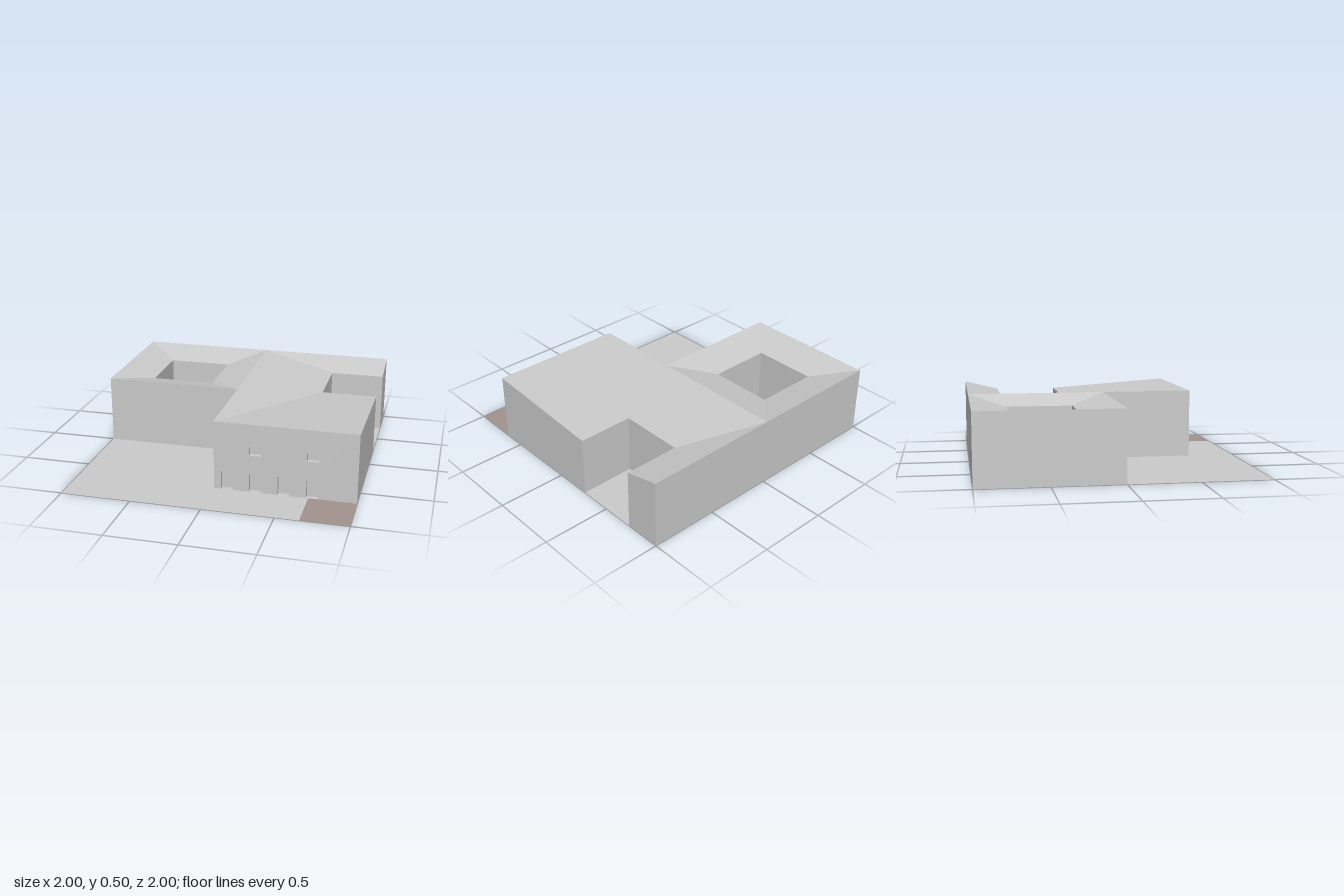
import * as THREE from 'three';

const RIM = 0.5, EAVE = 0.435, FRONT = 0.665, REVEAL = 0.033;

const grey = new THREE.MeshStandardMaterial({ color: 0xcccccc, flatShading: true, side: THREE.DoubleSide });
const brown = new THREE.MeshStandardMaterial({ color: 0xa3938d, flatShading: true, side: THREE.DoubleSide });

// Mesh from a list of four-cornered faces, each anticlockwise from outside
function faces(name, quads, material = grey) {
  const pos = [];
  for (const [a, b, c, d] of quads) pos.push(...a, ...b, ...c, ...a, ...c, ...d);
  const geo = new THREE.BufferGeometry();
  geo.setAttribute('position', new THREE.Float32BufferAttribute(pos, 3));
  geo.computeVertexNormals();
  const mesh = new THREE.Mesh(geo, material);
  mesh.name = name;
  return mesh;
}

// Upright wall between two plan points [x, z], with a top height at each end
const wall = ([x1, z1], [x2, z2], h1 = RIM, h2 = h1) =>
  [[x1, 0, z1], [x2, 0, z2], [x2, h2, z2], [x1, h1, z1]];

// Flat ground rectangle
const slab = (x1, x2, z1, z2) => [[x1, 0, z1], [x1, 0, z2], [x2, 0, z2], [x2, 0, z1]];

// Roof slopes falling from an outer rim to a courtyard edge
function roofSlopes(outer, inner, closed) {
  const quads = [], n = outer.length;
  for (let i = 0; i < (closed ? n : n - 1); i++) {
    const j = (i + 1) % n;
    const hi = ([x, z]) => [x, RIM, z], lo = ([x, z]) => [x, EAVE, z];
    quads.push([hi(outer[i]), hi(outer[j]), lo(inner[j]), lo(inner[i])]);
  }
  return quads;
}

// Walls lining a courtyard
function courtWalls(inner, closed) {
  const quads = [], n = inner.length;
  for (let i = 0; i < (closed ? n : n - 1); i++) quads.push(wall(inner[(i + 1) % n], inner[i], EAVE));
  return quads;
}

export function createModel() {
  const model = new THREE.Group();

  // Ground with a coloured corner patch
  model.add(faces('ground', [slab(-1, 1, -1, FRONT), slab(-1, 0.665, FRONT, 1)]));
  model.add(faces('groundPatch', [slab(0.665, 1, FRONT, 1)], brown));

  // Wing around the closed courtyard
  const closedOuter = [[-1, -1], [-1, 0], [0, 0], [0, -1]];
  const closedInner = [[-0.735, -0.735], [-0.735, -0.267], [-0.267, -0.267], [-0.267, -0.735]];
  model.add(faces('closedCourtRoof', roofSlopes(closedOuter, closedInner, true)));
  model.add(faces('closedCourtWalls', courtWalls(closedInner, true)));

  // Wing around the courtyard that opens to the side
  const openOuter = [[1, -1], [0, -1], [0, FRONT], [1, FRONT]];
  const openInner = [[1, -0.735], [0.597, -0.735], [0.597, -0.267], [1, -0.267]];
  model.add(faces('openCourtRoof', roofSlopes(openOuter, openInner, false)));
  model.add(faces('openCourtWalls', courtWalls(openInner, false)));

  // Outer walls
  model.add(faces('outerWalls', [
    wall([1, -1], [-1, -1]),
    wall([-1, -1], [-1, 0]),
    wall([-1, 0], [0, 0]),
    wall([0, 0], [0, FRONT]),
    wall([1, FRONT], [1, -0.267], RIM, EAVE),
    wall([1, -0.735], [1, -1], EAVE, RIM),
  ]));

  // Front wall: doors are notches in the outline, windows are holes
  const w = 0.084, doorTop = 0.134;
  const doorsX = [0.05, 0.25, 0.45, 0.65], windowsX = [0.25, 0.65];
  const front = new THREE.Shape();
  front.moveTo(0, 0);
  for (const x of doorsX) {
    front.lineTo(x, 0);
    front.lineTo(x, doorTop);
    front.lineTo(x + w, doorTop);
    front.lineTo(x + w, 0);
  }
  front.lineTo(1, 0);
  front.lineTo(1, RIM);
  front.lineTo(0, RIM);
  front.closePath();
  const openings = doorsX.map(x => ['door', x, 0, doorTop])
    .concat(windowsX.map(x => ['window', x, 0.272, 0.332]));
  for (const [kind, x, y1, y2] of openings) {
    if (kind !== 'window') continue;
    const hole = new THREE.Path();
    hole.moveTo(x, y1);
    hole.lineTo(x, y2);
    hole.lineTo(x + w, y2);
    hole.lineTo(x + w, y1);
    hole.closePath();
    front.holes.push(hole);
  }
  const facade = new THREE.Mesh(new THREE.ShapeGeometry(front), grey);
  facade.name = 'frontWall';
  facade.position.z = FRONT;
  model.add(facade);

  // Recessed doors and windows with their reveals
  const zb = FRONT - REVEAL;
  for (const [kind, x, y1, y2] of openings) {
    const r = x + w;
    const quads = [
      [[x, y1, zb], [r, y1, zb], [r, y2, zb], [x, y2, zb]],
      [[x, y1, FRONT], [x, y1, zb], [x, y2, zb], [x, y2, FRONT]],
      [[r, y1, zb], [r, y1, FRONT], [r, y2, FRONT], [r, y2, zb]],
      [[x, y2, zb], [r, y2, zb], [r, y2, FRONT], [x, y2, FRONT]],
    ];
    if (kind === 'window') quads.push([[x, y1, FRONT], [r, y1, FRONT], [r, y1, zb], [x, y1, zb]]);
    model.add(faces(kind, quads));
  }

  return model;
}
